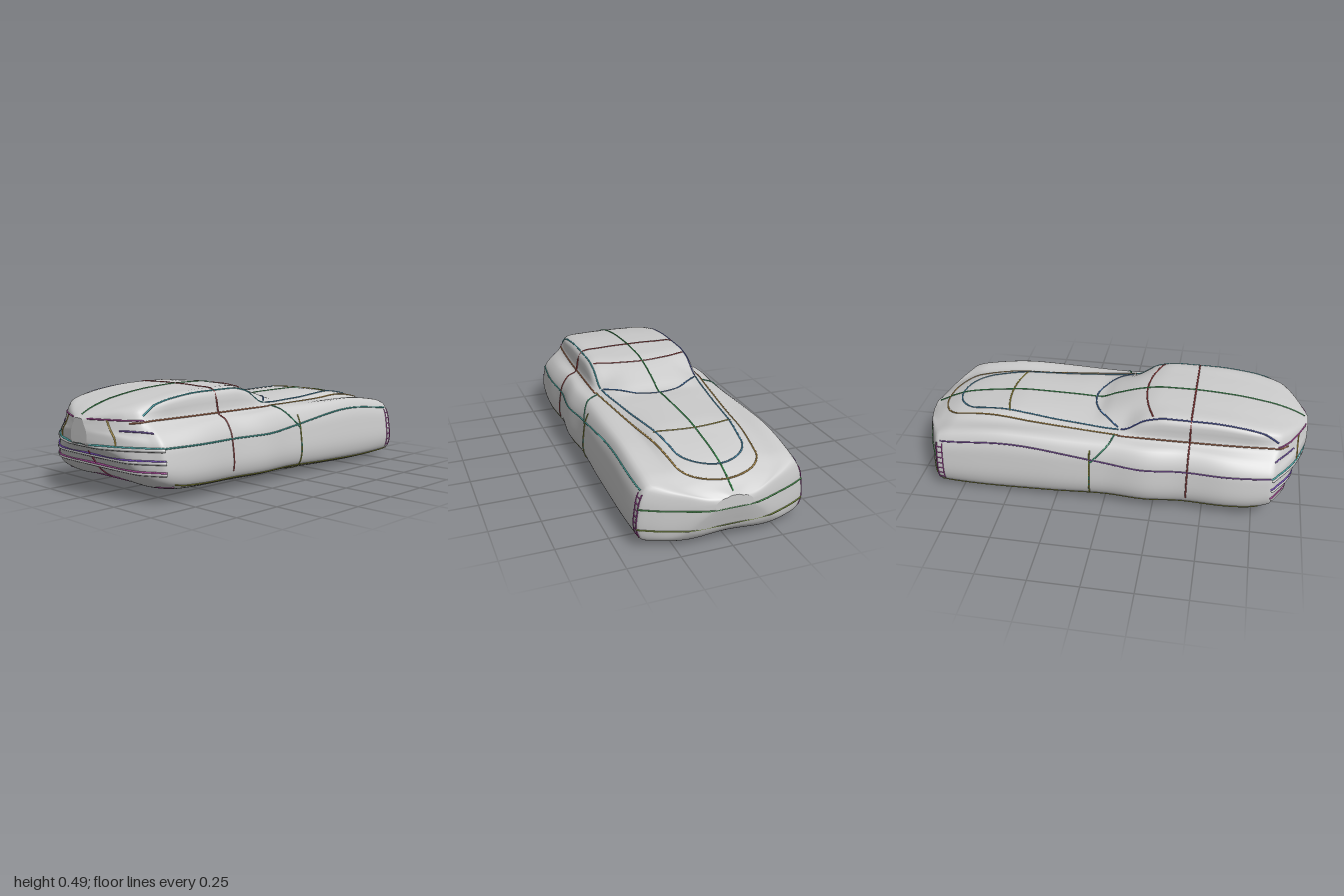
import * as THREE from 'three';

// Monotone smooth interpolation through [z, value] pairs listed with falling z
function profile(p) {
  const slope = i => (p[i + 1][1] - p[i][1]) / (p[i + 1][0] - p[i][0]);
  const tangent = i => {
    if (i === 0) return slope(0);
    if (i === p.length - 1) return slope(i - 1);
    const a = slope(i - 1), b = slope(i);
    return a * b <= 0 ? 0 : (2 * a * b) / (a + b);
  };
  return z => {
    let i = 0;
    while (i < p.length - 2 && z < p[i + 1][0]) i++;
    const h = p[i + 1][0] - p[i][0];
    const t = THREE.MathUtils.clamp((z - p[i][0]) / h, 0, 1), s = 1 - t;
    return s * s * (1 + 2 * t) * p[i][1] + t * t * (3 - 2 * t) * p[i + 1][1]
      + h * t * s * (s * tangent(i) - t * tangent(i + 1));
  };
}

// Car lines along z: heights and half widths
const top = profile([[1, .37], [.97, .39], [.9, .42], [.8, .447], [.6, .475], [.4, .485], [.25, .483], [.15, .467],
  [0, .42], [-.08, .39], [-.2, .394], [-.45, .396], [-.65, .376], [-.8, .35], [-.9, .312], [-.96, .28], [-1, .262]]);
const roofEdge = profile([[1, .365], [.9, .408], [.8, .432], [.5, .466], [.3, .467], [.2, .447], [.08, .385], [-.05, .375],
  [-.5, .382], [-.8, .338], [-.9, .303], [-1, .255]]);
const roofHalf = profile([[1, .03], [.95, .13], [.9, .205], [.85, .25], [.7, .28], [.2, .28], [.08, .268], [-.1, .25],
  [-.3, .215], [-.75, .19], [-.9, .15], [-.95, .11], [-1, .035]]);
const baseHalf = profile([[1, .04], [.95, .155], [.9, .24], [.85, .285], [.5, .303], [.1, .306], [-.1, .28], [-.4, .26],
  [-.8, .25], [-.9, .22], [-.95, .17], [-1, .06]]);
const baseY = profile([[1, .345], [.8, .365], [.1, .365], [-.5, .352], [-.8, .325], [-.9, .292], [-1, .25]]);
const shoulder = profile([[1, .325], [.85, .31], [.5, .335], [.1, .345], [-.1, .348], [-.5, .358], [-.8, .325], [-.95, .27], [-1, .24]]);
const bottom = profile([[1, .255], [.94, .2], [.89, .12], [.8, .06], [.7, .042], [.4, .03], [0, .025], [-.3, .012],
  [-.6, .004], [-.82, .008], [-.92, .03], [-.96, .07], [-.98, .13], [-1, .2]]);
const width = profile([[1, .06], [.98, .12], [.95, .205], [.9, .305], [.865, .36], [.83, .408], [.62, .425], [.4, .412], [.2, .43],
  [0, .415], [-.3, .42], [-.6, .42], [-.87, .41], [-.89, .38], [-.92, .32], [-.95, .245], [-.985, .15], [-1, .09]]);
const belt = profile([[.85, .255], [.2, .25], [-.5, .31], [-.85, .28]]);

const AROUND = 96;
// Closed cross-section, from the floor centre over the left side and back
function section(z) {
  const b = bottom(z), s = shoulder(z), w = width(z), h = s - b;
  const half = [[0, b + .04 * h], [.62 * w, b], [.85 * w, b + .05 * h], [.955 * w, b + .125 * h], [w, b + .3 * h],
    [.985 * w, b + .6 * h], [.95 * w, b + .82 * h], [.86 * w, s], [baseHalf(z), baseY(z)],
    [roofHalf(z), roofEdge(z)], [roofHalf(z) * .55, top(z) - .15 * (top(z) - roofEdge(z))], [0, top(z)]];
  const mirrored = half.slice(1, -1).reverse().map(([x, y]) => [-x, y]);
  const curve = new THREE.CatmullRomCurve3([...half, ...mirrored].map(([x, y]) => new THREE.Vector3(x, y, z)), true);
  return curve.getPoints(AROUND).slice(0, AROUND);
}

function bodyGeometry() {
  const rows = 140, pos = [], idx = [];
  for (let i = 0; i <= rows; i++) {
    const z = Math.sin((i / rows - .5) * Math.PI);
    for (const p of section(z)) pos.push(p.x, p.y, p.z);
  }
  for (let i = 0; i < rows; i++) for (let j = 0; j < AROUND; j++) {
    const k = (j + 1) % AROUND, a = i * AROUND + j, b = i * AROUND + k;
    idx.push(a, b, a + AROUND, b, b + AROUND, a + AROUND);
  }
  // close the nose and the tail
  for (const [row, z] of [[0, -1], [rows, 1]]) {
    const centre = pos.length / 3;
    pos.push(0, (top(z) + bottom(z)) / 2, z);
    for (let j = 0; j < AROUND; j++) {
      const a = row * AROUND + j, b = row * AROUND + (j + 1) % AROUND;
      if (row) idx.push(centre, a, b); else idx.push(centre, b, a);
    }
  }
  const g = new THREE.BufferGeometry();
  g.setAttribute('position', new THREE.Float32BufferAttribute(pos, 3));
  g.setIndex(idx);
  g.computeVertexNormals();
  return g;
}

// Points on the skin: above a given x, or beside a given y
function onTop(x, z) {
  const s = section(z).slice(0, AROUND / 2 + 1), ax = Math.abs(x);
  for (let j = s.length - 1; j > 0; j--) {
    const p = s[j], q = s[j - 1];
    if (ax >= p.x && ax <= q.x) {
      return new THREE.Vector3(x, THREE.MathUtils.mapLinear(ax, p.x, q.x + 1e-6, p.y, q.y), z);
    }
  }
  return new THREE.Vector3(x, shoulder(z), z);
}
function onSide(y, z, side) {
  const s = section(z).slice(AROUND / 12, AROUND / 2 + 1);
  for (let j = 0; j < s.length - 1; j++) {
    const p = s[j], q = s[j + 1];
    if (y >= p.y && y <= q.y) return new THREE.Vector3(side * THREE.MathUtils.mapLinear(y, p.y, q.y + 1e-6, p.x, q.x), y, z);
  }
  return null;
}
const steps = (a, b, n) => Array.from({ length: n + 1 }, (_, i) => a + (b - a) * i / n);

export function createModel() {
  const car = new THREE.Group();
  car.name = 'carBody';
  const grey = new THREE.MeshStandardMaterial({ color: 0xcccccc });
  const body = new THREE.Mesh(bodyGeometry(), grey);
  body.name = 'bodyShell';
  car.add(body);

  const line = (name, points, color, radius = .004) => {
    const path = points.filter(Boolean);
    if (path.length < 2) return;
    const material = color === undefined ? grey : new THREE.MeshStandardMaterial({ color });
    const mesh = new THREE.Mesh(new THREE.TubeGeometry(new THREE.CatmullRomCurve3(path), path.length * 3, radius, 6), material);
    mesh.name = name;
    car.add(mesh);
  };

  // centre lines and cross lines
  line('topCentreLine', steps(-.98, .98, 50).map(z => onTop(0, z)), 0x3f9a55);
  line('floorCentreLine', steps(-.93, .95, 30).map(z => section(z)[0]), 0xa83a62);
  line('floorCrossLine', steps(-28, 28, 28).map(j => section(-.07)[(Math.round(j) + AROUND) % AROUND]), 0x8c8f3a);
  line('roofCrossLine', steps(-.39, .39, 40).map(x => onTop(x, .42)), 0xa84848);
  line('windscreenTopLine', steps(-.26, .26, 20).map(x => onTop(x, .17 + .9 * x * x)), 0xa84848);
  line('windscreenBaseLine', steps(-.26, .26, 20).map(x => onTop(x, -.1 + 2.3 * x * x)), 0x4a78b0);
  line('bonnetCrossLine', steps(-.2, .2, 16).map(x => onTop(x, -.555 + .8 * x * x)), 0xb3a445);

  // bonnet outlines, each a loop open towards the cabin
  const loop = (name, tip, straight, half, backHalf, color) => {
    const arc = steps(0, Math.PI, 16).map(a => onTop(half * Math.cos(a), straight - (straight - tip) * Math.sin(a)));
    const leg = side => steps(.06, straight + .04, 16).map(z =>
      onTop(side * THREE.MathUtils.mapLinear(z, straight, .06, half, backHalf), z));
    line(name, [...leg(1), ...arc, ...leg(-1).reverse()], color);
  };
  loop('bonnetInnerLine', -.84, -.68, .17, .27, 0x4f93b5);
  loop('bonnetOuterLine', -.92, -.78, .2, .3, 0xb5924f);

  for (const side of [-1, 1]) {
    line('roofEdgeLine', steps(.07, .85, 24).map(z => onTop(side * .272, z)), side > 0 ? 0x4fb0b8 : 0x5560b0);
    line('cabinBaseLine', steps(.06, .9, 24).map(z => onTop(side * baseHalf(z), z)), 0xb0704f);
    line('beltLine', steps(-.85, .83, 40).map(z => onSide(belt(z), z, side)), side > 0 ? 0x49a8a0 : 0x8a58b0);
    line('sillLine', steps(-.86, .78, 30).map(z => onSide(bottom(z) + .035, z, side)), 0x8c8f3a);
    line('pillarLine', steps(0, 1, 14).map(t => onSide(.365 - .115 * t, .04 - .11 * t, side)), 0x3f9a75);
    line('rearDoorLine', steps(.1, .33, 12).map(y => onSide(y, .42, side)), 0xa05050);
    line('frontDoorLine', steps(.1, .25, 10).map(y => onSide(y, -.07, side)), 0x3f9a75);
    for (const z of [-.84, -.87]) line('noseCornerLine', steps(.06, .27, 8).map(y => onSide(y, z, side)), 0xa848a0, .003);
    for (const y of steps(.07, .25, 6)) line('noseCornerRung', steps(-.84, -.87, 2).map(z => onSide(y, z, side)), 0xa848a0, .003);
    line('tailPanelSideLine', steps(.26, .37, 6).map(y => onSide(y, .95, side)), 0xbfa23f);
    line('tailShoulderLine', steps(.84, .93, 8).map(z => onTop(side * .84 * width(z), z)), 0x7a58b0);
  }

  // bands around an end of the car at one height
  const band = (y, from, to) => {
    const run = side => steps(from, to, 24).map(z => y > bottom(z) + .008 ? onSide(y, z, side) : null).filter(Boolean);
    return [...run(1), ...run(-1).reverse()];
  };
  for (const [y, color] of [[.255, 0x4fb0b0], [.2, 0x7a4fc0], [.15, 0xb04fa0]]) {
    line('tailLedge', band(y - .008, .83, .995), undefined, .009);
    line('tailLine', band(y, .83, .995), color, .005);
  }
  line('tailTopLine', band(.37, .85, .985), 0xb04fa0);
  line('tailLowerLine', band(.075, .77, .83), 0xb04fa0);
  for (const [y, color] of [[.1, 0x7a8f3a], [.2, 0x4f9a55]]) line('noseLine', band(y, -.87, -.995), color);
  return car;
}
